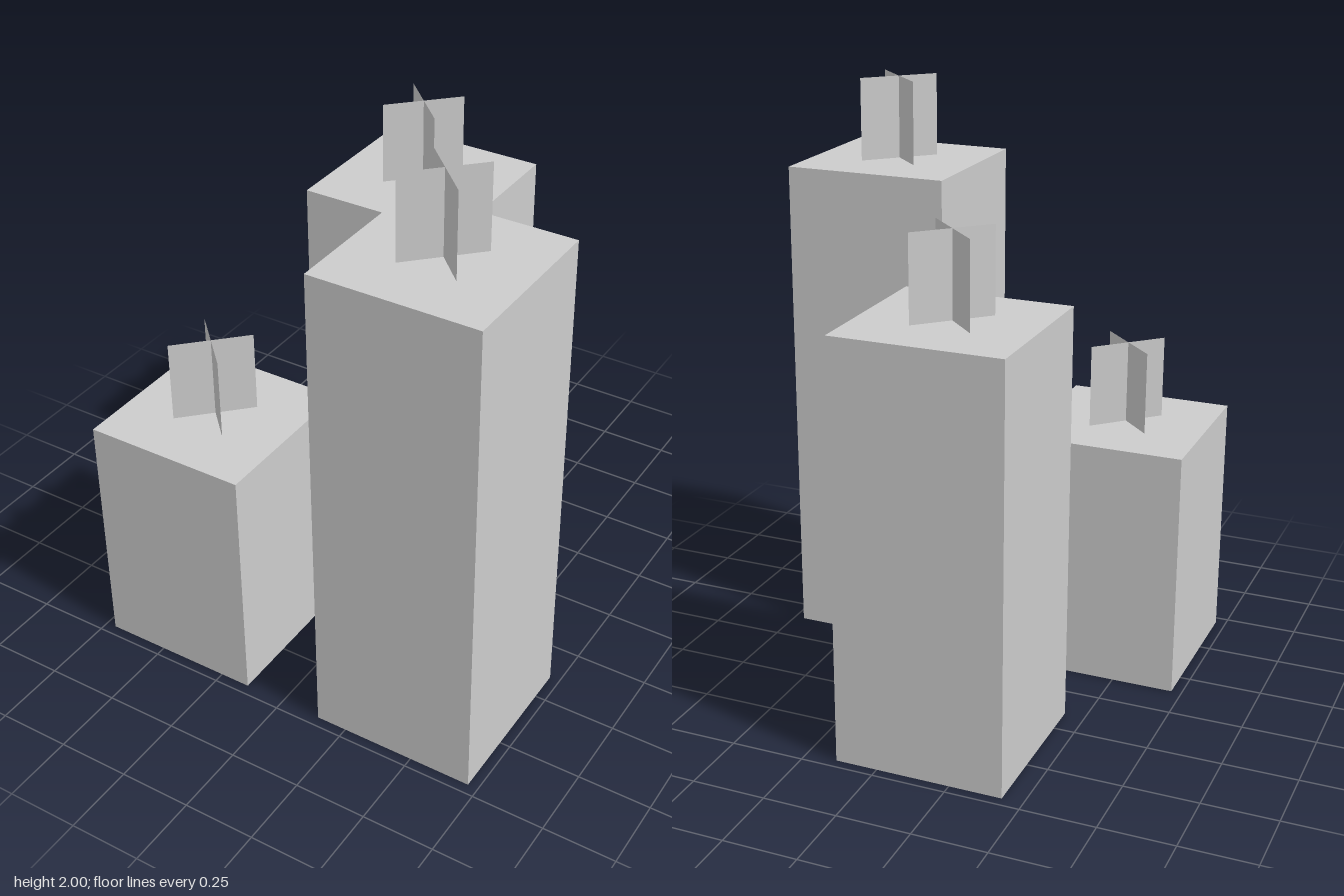
import * as THREE from 'three';

const U = 1 / 7; // one block unit
const wax = new THREE.MeshStandardMaterial({ color: 0xcccccc, flatShading: true });
const thin = new THREE.MeshStandardMaterial({ color: 0xcccccc, flatShading: true, side: THREE.DoubleSide });

// Square candle with a wick made of two crossed upright planes
function makeCandle(name, x, z, height) {
  const candle = new THREE.Group();
  candle.name = name;
  candle.position.set(x * U, 0, z * U);

  const body = new THREE.Mesh(new THREE.BoxGeometry(4 * U, height * U, 4 * U), wax);
  body.name = 'candleBody';
  body.position.y = height * U / 2;
  candle.add(body);

  const wick = new THREE.Group();
  wick.name = 'wick';
  wick.position.y = (height + 1) * U;
  for (const side of [-1, 1]) {
    const blade = new THREE.Mesh(new THREE.PlaneGeometry(0.28, 2 * U), thin);
    blade.name = 'wickBlade';
    blade.rotation.y = side * Math.PI / 4;
    wick.add(blade);
  }
  candle.add(wick);
  return candle;
}

export function createModel() {
  const model = new THREE.Group();
  model.name = 'candles';
  model.add(
    makeCandle('shortCandle', -3, 3, 6),
    makeCandle('mediumCandle', -1, -3, 10),
    makeCandle('tallCandle', 3, 3, 12)
  );
  return model;
}
